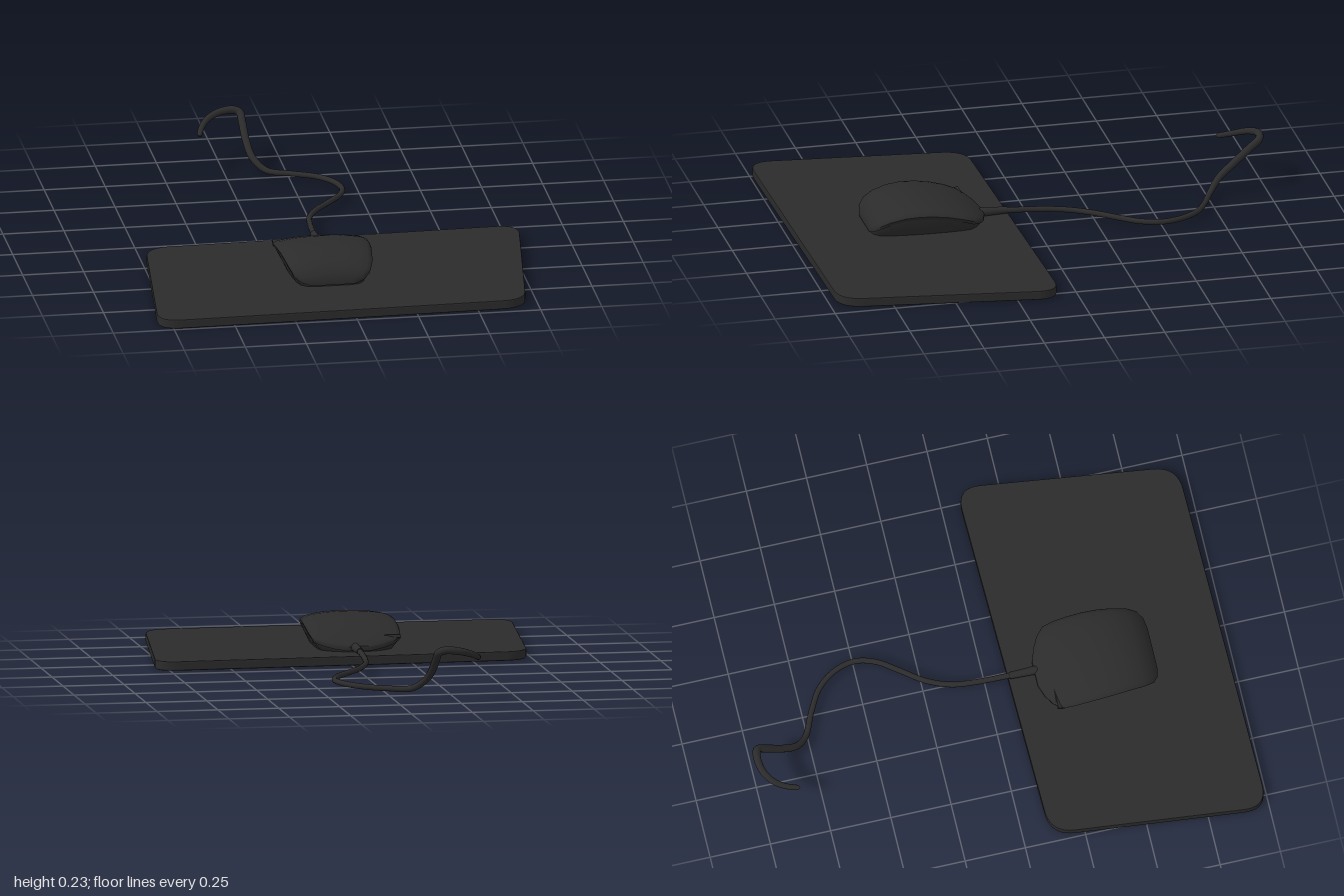
import * as THREE from 'three';
import { toCreasedNormals } from 'three/addons/utils/BufferGeometryUtils.js';

const V = (x, y, z) => new THREE.Vector3(x, y, z);

// Polygon in plan (x, z) with rounded corners, as a shape ready to be laid flat
function roundedPlan(corners, r) {
  const pts = corners.map(([x, z]) => new THREE.Vector2(x, -z));
  const shape = new THREE.Shape();
  pts.forEach((p, i) => {
    const prev = pts[(i + pts.length - 1) % pts.length];
    const next = pts[(i + 1) % pts.length];
    const a = prev.clone().sub(p).setLength(r).add(p);
    const b = next.clone().sub(p).setLength(r).add(p);
    if (i) shape.lineTo(a.x, a.y); else shape.moveTo(a.x, a.y);
    shape.quadraticCurveTo(p.x, p.y, b.x, b.y);
  });
  shape.closePath();
  return shape;
}

// Skin equal-sized rings, ordered from +z to -z, and cap both ends
function loft(rings) {
  const n = rings[0].length, index = [];
  for (let i = 0; i < rings.length - 1; i++) {
    for (let j = 0; j < n; j++) {
      const a = i * n + j, b = i * n + (j + 1) % n;
      index.push(a, a + n, b, b, a + n, b + n);
    }
  }
  const last = (rings.length - 1) * n;
  for (let j = 1; j < n - 1; j++) {
    index.push(0, j, j + 1, last, last + j + 1, last + j);
  }
  const geo = new THREE.BufferGeometry().setFromPoints(rings.flat());
  geo.setIndex(index);
  return toCreasedNormals(geo, 0.7);
}

// Tube whose radius follows radiusAt(t), with rounded ends
function cableGeometry(points, segments, radiusAt) {
  const curve = new THREE.CatmullRomCurve3(points, false, 'centripetal');
  const sides = 12;
  const geo = new THREE.TubeGeometry(curve, segments, 1, sides);
  const pos = geo.attributes.position, v = V(0, 0, 0);
  for (let i = 0; i <= segments; i++) {
    const c = curve.getPointAt(i / segments);
    for (let j = 0; j <= sides; j++) {
      const k = i * (sides + 1) + j;
      v.fromBufferAttribute(pos, k).sub(c).multiplyScalar(radiusAt(i / segments)).add(c);
      pos.setXYZ(k, v.x, v.y, v.z);
    }
  }
  return geo;
}

export function createModel() {
  const model = new THREE.Group();
  const charcoal = new THREE.MeshStandardMaterial({ color: 0x2b2b2b });
  charcoal.name = 'charcoal';
  const add = (name, geo) => {
    const mesh = new THREE.Mesh(geo, charcoal);
    mesh.name = name;
    model.add(mesh);
    return mesh;
  };

  // Skewed mat with rounded corners
  const mat = new THREE.ExtrudeGeometry(
    roundedPlan([[-0.815, 0.993], [0.695, 0.968], [0.81, 0.075], [-0.725, 0.11]], 0.1),
    { depth: 0.028, bevelEnabled: true, bevelThickness: 0.005, bevelSize: 0.004, bevelOffset: -0.004, bevelSegments: 2, curveSegments: 10 }
  );
  mat.rotateX(-Math.PI / 2);
  mat.translate(0, 0.005, 0);
  add('mousePad', mat);

  // Mouse: stations of z, half width, crown height, rim height
  const cx = -0.05;
  const stations = [
    [0.690, 0.090, 0.068, 0.058], [0.682, 0.130, 0.088, 0.070], [0.660, 0.158, 0.115, 0.088],
    [0.620, 0.172, 0.140, 0.108], [0.560, 0.181, 0.157, 0.123], [0.500, 0.187, 0.162, 0.128],
    [0.440, 0.190, 0.157, 0.125], [0.380, 0.190, 0.146, 0.116], [0.320, 0.188, 0.128, 0.101],
    [0.275, 0.180, 0.109, 0.085], [0.245, 0.150, 0.092, 0.074], [0.220, 0.105, 0.076, 0.064],
    [0.203, 0.050, 0.062, 0.056]
  ];
  const shellRing = ([z, w, top, rim]) => {
    const ring = [V(cx + w * 0.97, rim - 0.014, z)];
    for (let k = 0; k <= 14; k++) {
      const a = Math.PI * k / 14;
      ring.push(V(cx + w * Math.cos(a), rim + (top - rim) * Math.pow(Math.sin(a), 0.9), z));
    }
    ring.push(V(cx - w * 0.97, rim - 0.014, z));
    return ring;
  };
  add('mouseShell', loft(stations.map(shellRing)));

  // Recessed body that narrows towards the mat
  const bodyRing = ([z, w, , rim]) => {
    const zz = 0.45 + (z - 0.45) * 0.97;
    const y0 = 0.036, y1 = rim - 0.008, s = [];
    for (const [f, k] of [[0.8, 0], [0.87, 0.35], [0.93, 0.7], [0.95, 1]]) {
      s.push([w * f, y0 + (y1 - y0) * k]);
    }
    return [
      ...s.map(([x, y]) => V(cx + x, y, zz)),
      ...s.reverse().map(([x, y]) => V(cx - x, y, zz))
    ];
  };
  add('mouseBody', loft(stations.map(bodyRing)));

  // Small button lip at the corner beside the cable
  const lip = add('buttonLip', new THREE.BoxGeometry(0.11, 0.012, 0.03));
  lip.position.set(-0.175, 0.086, 0.272);
  lip.rotation.x = 0.35;

  // Boot where the cable leaves the mouse
  const boot = add('cableBoot', new THREE.CylinderGeometry(0.014, 0.019, 0.14, 16));
  boot.rotation.x = -Math.PI / 2;
  boot.position.set(-0.034, 0.055, 0.17);

  // Winding cable with a raised hook at its end
  const path = [
    [-0.035, 0.056, 0.24], [-0.033, 0.054, 0.1], [-0.027, 0.048, -0.04], [-0.012, 0.042, -0.14],
    [0.03, 0.037, -0.235], [0.1, 0.034, -0.33], [0.155, 0.032, -0.41], [0.177, 0.031, -0.49],
    [0.158, 0.03, -0.575], [0.1, 0.028, -0.655], [0.01, 0.026, -0.71], [-0.09, 0.03, -0.757],
    [-0.138, 0.07, -0.805], [-0.154, 0.12, -0.87], [-0.159, 0.175, -0.935], [-0.164, 0.207, -0.975],
    [-0.19, 0.216, -0.985], [-0.25, 0.209, -0.98], [-0.3, 0.193, -0.95], [-0.33, 0.176, -0.905],
    [-0.35, 0.162, -0.84]
  ].map((p) => V(...p));
  const radius = (t) => {
    const swell = 0.0115 + 0.0045 * THREE.MathUtils.smoothstep(t, 0.6, 0.8);
    const tail = 1 - 0.3 * THREE.MathUtils.smoothstep(t, 0.85, 1);
    return swell * tail * Math.sqrt(Math.max(0, Math.min(1, (1 - t) / 0.006)));
  };
  add('cable', cableGeometry(path, 220, radius));

  return model;
}
